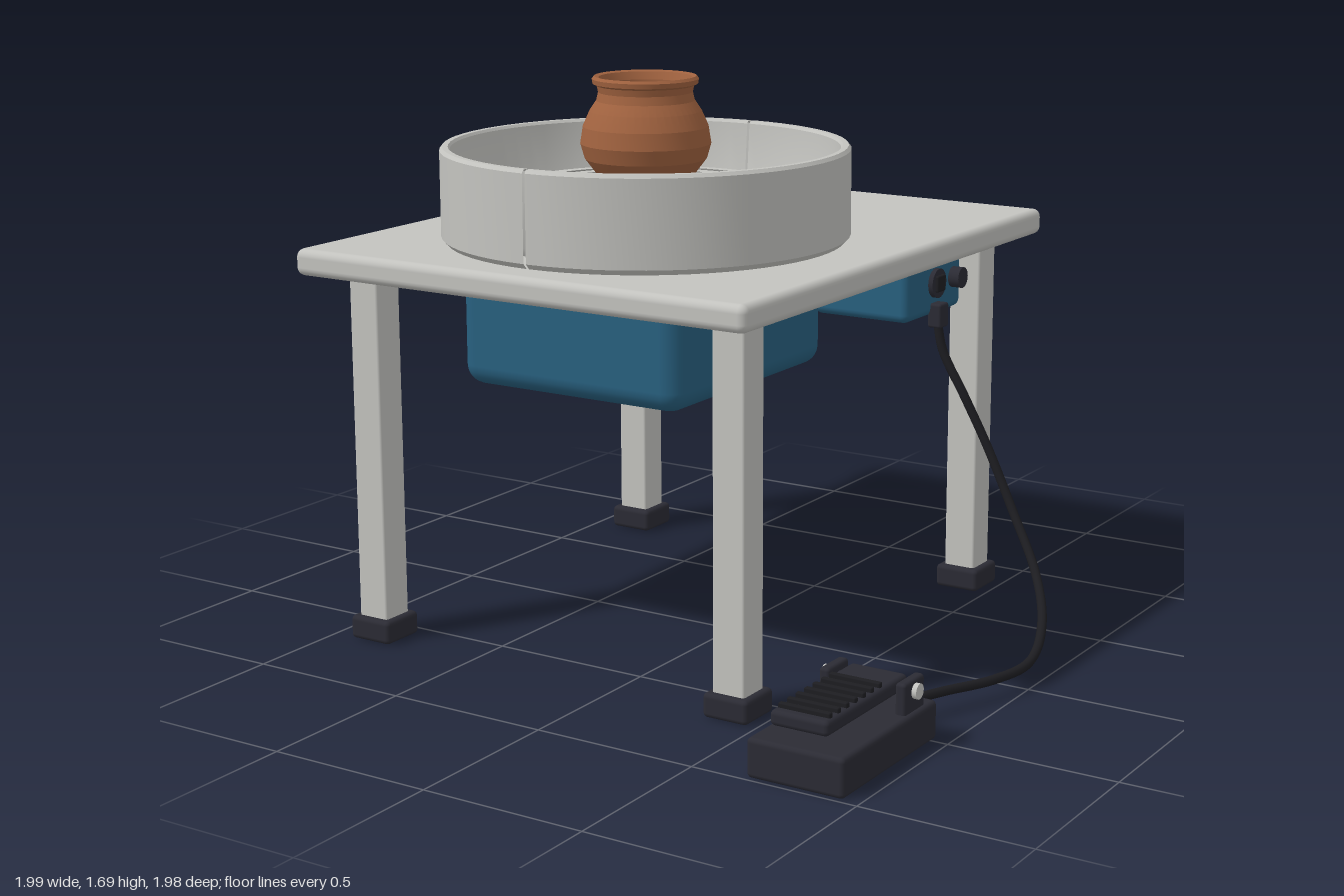
import * as THREE from 'three';
import { RoundedBoxGeometry } from 'three/addons/geometries/RoundedBoxGeometry.js';
import { toCreasedNormals } from 'three/addons/utils/BufferGeometryUtils.js';

const mat = (name, color, extra = {}) => {
  const m = new THREE.MeshStandardMaterial({ color, ...extra });
  m.name = name;
  return m;
};

export function createModel() {
  const grey = mat('light grey', 0xc3c3bf);
  const pan = mat('pan grey', 0xc3c3bf, { side: THREE.DoubleSide });
  const groove = mat('groove grey', 0x858582);
  const blue = mat('housing blue', 0x28607f);
  const clay = mat('clay', 0xa0623f, { side: THREE.DoubleSide });
  const dark = mat('dark plastic', 0x2b2b34);
  const black = mat('black rubber', 0x1d1d21);

  const model = new THREE.Group();
  const CX = -0.23, CZ = 0.11; // wheel axis

  const add = (name, geo, material, x = 0, y = 0, z = 0, parent = model) => {
    const m = new THREE.Mesh(geo, material);
    m.name = name;
    m.position.set(x, y, z);
    parent.add(m);
    return m;
  };
  // rounded box given by its extents
  const box = (name, material, [x0, x1], [y0, y1], [z0, z1], r = 0.01, seg = 2, parent = model) =>
    add(name, new RoundedBoxGeometry(x1 - x0, y1 - y0, z1 - z0, seg, r), material,
      (x0 + x1) / 2, (y0 + y1) / 2, (z0 + z1) / 2, parent);
  const lathe = (pts, seg, start = 0, len = Math.PI * 2, crease = 0.5) =>
    toCreasedNormals(new THREE.LatheGeometry(pts.map(p => new THREE.Vector2(...p)), seg, start, len), crease);
  // cylinder lying along x
  const disc = (name, material, r, x0, x1, y, z, parent = model) =>
    add(name, new THREE.CylinderGeometry(r, r, x1 - x0, 24), material,
      (x0 + x1) / 2, y, z, parent).rotation.z = Math.PI / 2;

  // Table with four legs and rubber feet
  box('tableTop', grey, [-1, 0.54], [1.13, 1.21], [-0.99, 0.8], 0.025, 3);
  for (const x of [-0.862, 0.4]) for (const z of [-0.785, 0.608]) {
    box('leg', grey, [x - 0.052, x + 0.052], [0.04, 1.14], [z - 0.052, z + 0.052], 0.008);
    box('foot', dark, [x - 0.073, x + 0.073], [0, 0.072], [z - 0.073, z + 0.073], 0.014);
  }

  // Splash pan in two halves with a narrow gap at front and back
  const panProfile = [
    [0.14, 1.212], [0.59, 1.212], [0.605, 1.228], [0.605, 1.482], [0.597, 1.492],
    [0.58, 1.492], [0.574, 1.484], [0.556, 1.26], [0.54, 1.235], [0.14, 1.235], [0.14, 1.212],
  ];
  for (const i of [0, 1]) {
    add('splashPanHalf', lathe(panProfile, 32, 0.007 + i * Math.PI, Math.PI - 0.014), pan, CX, 0, CZ);
  }

  // Wheel head on its shaft, with centring rings
  add('wheelShaft', new THREE.CylinderGeometry(0.08, 0.08, 0.2, 32), grey, CX, 1.25, CZ);
  add('wheelHead', lathe([[0, 1.315], [0.437, 1.315], [0.447, 1.323], [0.447, 1.352], [0.437, 1.36], [0, 1.36]], 64),
    grey, CX, 0, CZ);
  for (const r of [0.2, 0.255, 0.322, 0.385]) {
    add('centringRing', new THREE.TorusGeometry(r, 0.004, 6, 64), groove, CX, 1.36, CZ).rotation.x = Math.PI / 2;
  }

  // Thrown clay pot with a hollow inside
  add('clayPot', lathe([
    [0, 1.36], [0.1, 1.36], [0.115, 1.375], [0.15, 1.41], [0.18, 1.45], [0.193, 1.495], [0.185, 1.545],
    [0.165, 1.59], [0.145, 1.62], [0.139, 1.645], [0.143, 1.664], [0.155, 1.67], [0.157, 1.684],
    [0.15, 1.692], [0.137, 1.688], [0.128, 1.665], [0.127, 1.63], [0.15, 1.58], [0.172, 1.53],
    [0.176, 1.49], [0.165, 1.45], [0.13, 1.405], [0.09, 1.385], [0, 1.385],
  ], 48, 0, Math.PI * 2, 0.2), clay, CX, 0, CZ);

  // Motor housing under the table
  box('motorHousing', blue, [-0.615, 0.15], [0.8, 1.15], [-0.295, 0.528], 0.06, 3);
  box('motorBasePlate', black, [-0.515, 0.05], [0.785, 0.82], [-0.193, 0.426], 0.008);

  // Control box with socket, switch and speed knob on its side
  box('controlBox', blue, [0.1, 0.43], [0.945, 1.14], [-0.652, -0.3], 0.025, 3);
  disc('socketRing', dark, 0.045, 0.42, 0.445, 1.045, -0.475);
  box('switch', black, [0.43, 0.455], [1.02, 1.07], [-0.5, -0.45], 0.005);
  disc('speedKnob', dark, 0.032, 0.42, 0.465, 1.045, -0.592);
  box('cablePlug', dark, [0.42, 0.465], [0.91, 0.985], [-0.503, -0.447], 0.008);

  // Cable from the control box down to the pedal
  const path = new THREE.CatmullRomCurve3([
    [0.44, 0.93, -0.475], [0.46, 0.84, -0.475], [0.53, 0.7, -0.49], [0.6, 0.55, -0.51],
    [0.7, 0.36, -0.495], [0.82, 0.21, -0.41], [0.93, 0.115, -0.23], [0.98, 0.065, -0.04],
    [0.95, 0.058, 0.12], [0.88, 0.065, 0.3], [0.81, 0.07, 0.49],
  ].map(p => new THREE.Vector3(...p)));
  add('cable', new THREE.TubeGeometry(path, 80, 0.014, 10), black);

  // Foot pedal: base, hinged tread with ribs, side brackets and bolts
  const pedal = new THREE.Group();
  pedal.name = 'footPedal';
  model.add(pedal);
  const PX = 0.808;
  box('pedalBase', dark, [PX - 0.147, PX + 0.147], [0, 0.112], [0.475, 0.99], 0.014, 2, pedal);
  box('pedalTread', dark, [PX - 0.088, PX + 0.088], [0.15, 0.194], [0.535, 0.97], 0.014, 2, pedal);
  for (let i = 0; i < 7; i++) {
    const z = 0.67 + i * 0.044;
    box('treadRib', black, [PX - 0.078, PX + 0.078], [0.188, 0.207], [z - 0.009, z + 0.009], 0.004, 1, pedal);
  }
  for (const s of [-1, 1]) {
    const x = PX + s * 0.117;
    box('hingeBracket', dark, [x - 0.016, x + 0.016], [0.1, 0.2], [0.525, 0.637], 0.01, 2, pedal);
    disc('hingeBolt', grey, 0.022, x + s * 0.022 - 0.008, x + s * 0.022 + 0.008, 0.167, 0.58, pedal);
  }
  disc('hingePin', dark, 0.012, PX - 0.12, PX + 0.12, 0.167, 0.58, pedal);

  return model;
}
